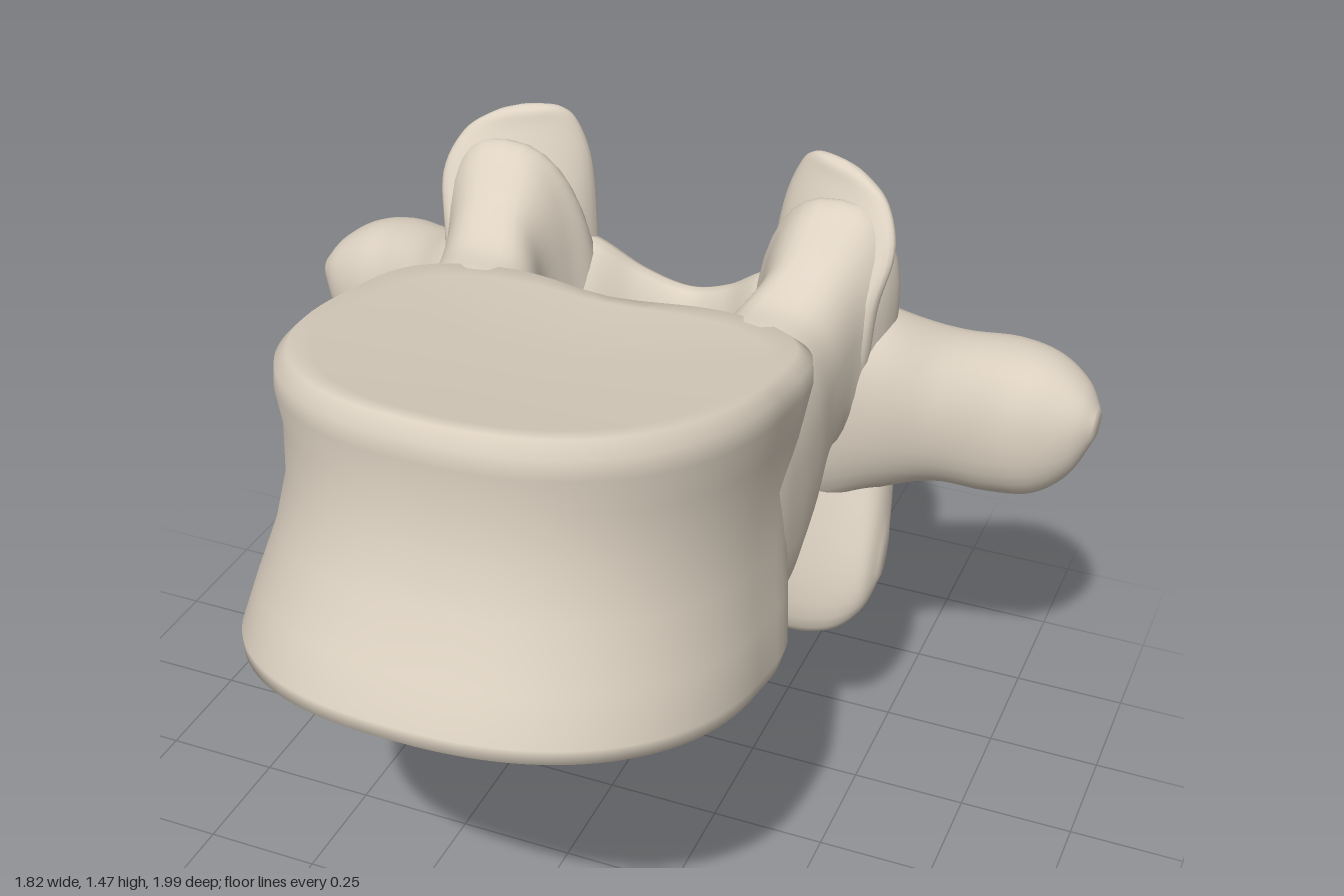
import * as THREE from 'three';

const material = new THREE.MeshStandardMaterial({ color: 0xddd2c2 });
const V = (a, i = 0) => new THREE.Vector3(a[i], a[i + 1], a[i + 2]);
const power = (c, e) => Math.sign(c) * Math.pow(Math.abs(c), e);

// Closed smooth skin over a list of rings, with a centre point at both ends
function skin(name, rings) {
  const n = rings[0].length, pos = [], idx = [];
  rings.forEach(r => r.forEach(p => pos.push(p.x, p.y, p.z)));
  for (let i = 0; i < rings.length - 1; i++) {
    for (let j = 0; j < n; j++) {
      const a = i * n + j, b = i * n + (j + 1) % n;
      idx.push(a, b, b + n, a, b + n, a + n);
    }
  }
  [0, rings.length - 1].forEach(i => {
    const c = new THREE.Vector3(), k = pos.length / 3;
    rings[i].forEach(p => c.addScaledVector(p, 1 / n));
    pos.push(c.x, c.y, c.z);
    for (let j = 0; j < n; j++) {
      const a = i * n + j, b = i * n + (j + 1) % n;
      if (i) idx.push(a, b, k); else idx.push(b, a, k);
    }
  });
  // Turn the faces outwards if the enclosed volume comes out negative
  let volume = 0;
  for (let t = 0; t < idx.length; t += 3) {
    volume += V(pos, idx[t] * 3).dot(V(pos, idx[t + 1] * 3).cross(V(pos, idx[t + 2] * 3)));
  }
  if (volume < 0) idx.reverse();
  const geometry = new THREE.BufferGeometry();
  geometry.setAttribute('position', new THREE.Float32BufferAttribute(pos, 3));
  geometry.setIndex(idx);
  geometry.computeVertexNormals();
  const mesh = new THREE.Mesh(geometry, material);
  mesh.name = name;
  return mesh;
}

// Loft through oval stations: [one end xyz, other end xyz, half thickness xyz]
function loft(name, stations, side = 1, e = 0.9) {
  const curve = k => new THREE.CatmullRomCurve3(
    stations.map(s => V(s, k).multiply(new THREE.Vector3(side, 1, 1))), false, 'catmullrom', 0.5);
  const [top, bottom, half] = [curve(0), curve(3), curve(6)];
  const rings = [], total = (stations.length - 1) * 6, sides = 32;
  for (let i = 0; i <= total; i++) {
    const p = top.getPoint(i / total), q = bottom.getPoint(i / total), h = half.getPoint(i / total);
    const c = p.clone().add(q).multiplyScalar(0.5), u = p.sub(q).multiplyScalar(0.5);
    rings.push(Array.from({ length: sides }, (_, j) => {
      const a = j / sides * Math.PI * 2;
      return c.clone().addScaledVector(u, power(Math.cos(a), e)).addScaledVector(h, power(Math.sin(a), e));
    }));
  }
  return skin(name, rings);
}

// Body: D-shaped layers [half width, front z, front y, back z, back y, canal hollow]
function body() {
  const layers = [
    [0.03, 0.58, 0.80, 0.52, 0.785, 0], [0.25, 0.78, 0.835, 0.33, 0.725, 0],
    [0.40, 0.91, 0.852, 0.20, 0.667, 0], [0.455, 0.965, 0.857, 0.15, 0.648, 0],
    [0.49, 0.995, 0.878, 0.12, 0.657, 0], [0.498, 0.992, 0.905, 0.10, 0.695, 0],
    [0.48, 0.95, 0.99, 0.06, 0.785, 0.01], [0.455, 0.895, 1.10, 0.01, 0.88, 0.03],
    [0.443, 0.865, 1.20, -0.04, 0.98, 0.06], [0.452, 0.85, 1.30, -0.07, 1.09, 0.08],
    [0.466, 0.857, 1.37, -0.085, 1.18, 0.085], [0.462, 0.855, 1.41, -0.085, 1.225, 0.085],
    [0.435, 0.835, 1.438, -0.06, 1.25, 0.07], [0.39, 0.79, 1.427, 0, 1.258, 0.04],
    [0.22, 0.63, 1.385, 0.2, 1.29, 0], [0.03, 0.45, 1.345, 0.39, 1.332, 0]];
  const sides = 96;
  return skin('vertebralBody', layers.map(([w, zf, yf, zb, yb, hollow]) =>
    Array.from({ length: sides }, (_, j) => {
      const a = j / sides * Math.PI * 2, s = Math.sin(a), c = Math.cos(a);
      const mid = zb + (zf - zb) * 0.42;
      const x = w * power(c, s > 0 ? 0.85 : 0.72);
      let z = mid + (s > 0 ? (zf - mid) * power(s, 0.9) : (mid - zb) * power(s, 0.45));
      if (s < 0) z += hollow * s * s * Math.exp(-x * x / 0.024);
      return new THREE.Vector3(x, yb + (yf - yb) * (z - zb) / (zf - zb), z);
    })));
}

// Bony bridges from the body, rising into a buttress under the upper facet
const pedicle = [
  [0.28, 1.20, 0.38, 0.28, 0.84, 0.38, 0.10, 0, 0],
  [0.32, 1.23, 0.24, 0.32, 0.74, 0.26, 0.12, 0, 0],
  [0.325, 1.25, 0.12, 0.325, 0.68, 0.15, 0.13, 0, 0],
  [0.315, 1.262, 0.02, 0.32, 0.76, 0.02, 0.138, 0, 0],
  [0.32, 1.27, -0.08, 0.325, 0.86, -0.09, 0.125, 0, 0],
  [0.35, 1.325, -0.18, 0.335, 0.875, -0.18, 0.115, 0, 0],
  [0.37, 1.40, -0.27, 0.33, 0.82, -0.26, 0.14, 0, 0],
  [0.36, 1.38, -0.33, 0.31, 0.78, -0.33, 0.155, 0, 0],
  [0.32, 1.20, -0.39, 0.30, 0.82, -0.38, 0.13, 0, 0]];

// Upright facets on top of the arch, wedge-shaped towards the tip
const superiorFacet = [
  [0.44, 0.86, -0.29, 0.22, 0.86, -0.36, 0.02, 0, 0.05],
  [0.465, 1.08, -0.25, 0.20, 1.06, -0.35, 0.03, 0, 0.095],
  [0.475, 1.22, -0.25, 0.205, 1.20, -0.365, 0.03, 0, 0.09],
  [0.495, 1.33, -0.275, 0.22, 1.34, -0.39, 0.022, 0, 0.06],
  [0.465, 1.41, -0.31, 0.25, 1.425, -0.395, 0.015, 0, 0.038],
  [0.41, 1.45, -0.335, 0.28, 1.458, -0.385, 0.008, 0, 0.024],
  [0.36, 1.465, -0.355, 0.32, 1.467, -0.37, 0.002, 0, 0.006]];

// Side wings sweeping out and back, with thick rounded ends
const transverseProcess = [
  [0.20, 1.10, -0.33, 0.22, 0.70, -0.33, 0, 0, 0.08],
  [0.34, 1.22, -0.31, 0.36, 0.69, -0.32, 0, 0, 0.13],
  [0.48, 1.17, -0.31, 0.48, 0.75, -0.33, 0, 0, 0.13],
  [0.60, 1.10, -0.385, 0.60, 0.765, -0.405, 0, 0, 0.15],
  [0.71, 1.07, -0.455, 0.70, 0.735, -0.455, 0, 0, 0.15],
  [0.80, 1.045, -0.475, 0.79, 0.735, -0.47, 0, 0, 0.125],
  [0.87, 1.00, -0.47, 0.86, 0.79, -0.475, 0, 0, 0.085],
  [0.908, 0.95, -0.455, 0.905, 0.89, -0.46, 0, 0, 0.03]];

// Half of the plate behind the canal, ending in the lower facet
const laminaHalf = [
  [0.10, 1.11, -0.405, 0.10, 0.38, -0.36, 0, 0, 0.072],
  [0.20, 1.18, -0.37, 0.20, 0.43, -0.275, 0, 0, 0.09],
  [0.32, 1.18, -0.39, 0.31, 0.395, -0.23, 0, 0, 0.095],
  [0.42, 1.06, -0.415, 0.42, 0.415, -0.225, 0, 0, 0.09],
  [0.495, 0.82, -0.345, 0.49, 0.48, -0.235, 0, 0, 0.068],
  [0.522, 0.65, -0.285, 0.52, 0.56, -0.26, 0, 0, 0.02]];
const mirrored = s => s.map((v, i) => (i === 0 || i === 3 || i === 6 ? -v : v));
const lamina = [
  ...[...laminaHalf].reverse().map(mirrored),
  [0, 1.075, -0.425, 0, 0.335, -0.395, 0, 0, 0.068],
  ...laminaHalf];

// Rear spine: thin blade with a broad flared root and a knobbed tip
const spinousProcess = [
  [0, 0.98, -0.39, 0, 0.43, -0.35, 0.27, 0, 0],
  [0, 1.00, -0.455, 0, 0.355, -0.40, 0.24, 0, 0],
  [0, 0.93, -0.525, 0, 0.31, -0.46, 0.165, 0, 0],
  [0, 0.79, -0.605, 0, 0.26, -0.54, 0.105, 0, 0],
  [0, 0.58, -0.755, 0, 0.15, -0.67, 0.052, 0, 0],
  [0, 0.37, -0.865, 0, 0.055, -0.79, 0.035, 0, 0],
  [0, 0.24, -0.965, 0, 0.003, -0.87, 0.058, 0, 0],
  [0, 0.17, -0.993, 0, 0.02, -0.92, 0.045, 0, 0],
  [0, 0.115, -0.99, 0, 0.065, -0.96, 0.012, 0, 0]];

export function createModel() {
  const model = new THREE.Group();
  model.name = 'vertebra';
  model.add(body(), loft('lamina', lamina), loft('spinousProcess', spinousProcess));
  for (const [label, side] of [['left', 1], ['right', -1]]) {
    model.add(
      loft(label + 'Pedicle', pedicle, side, 0.75),
      loft(label + 'SuperiorFacet', superiorFacet, side),
      loft(label + 'TransverseProcess', transverseProcess, side));
  }
  return model;
}
